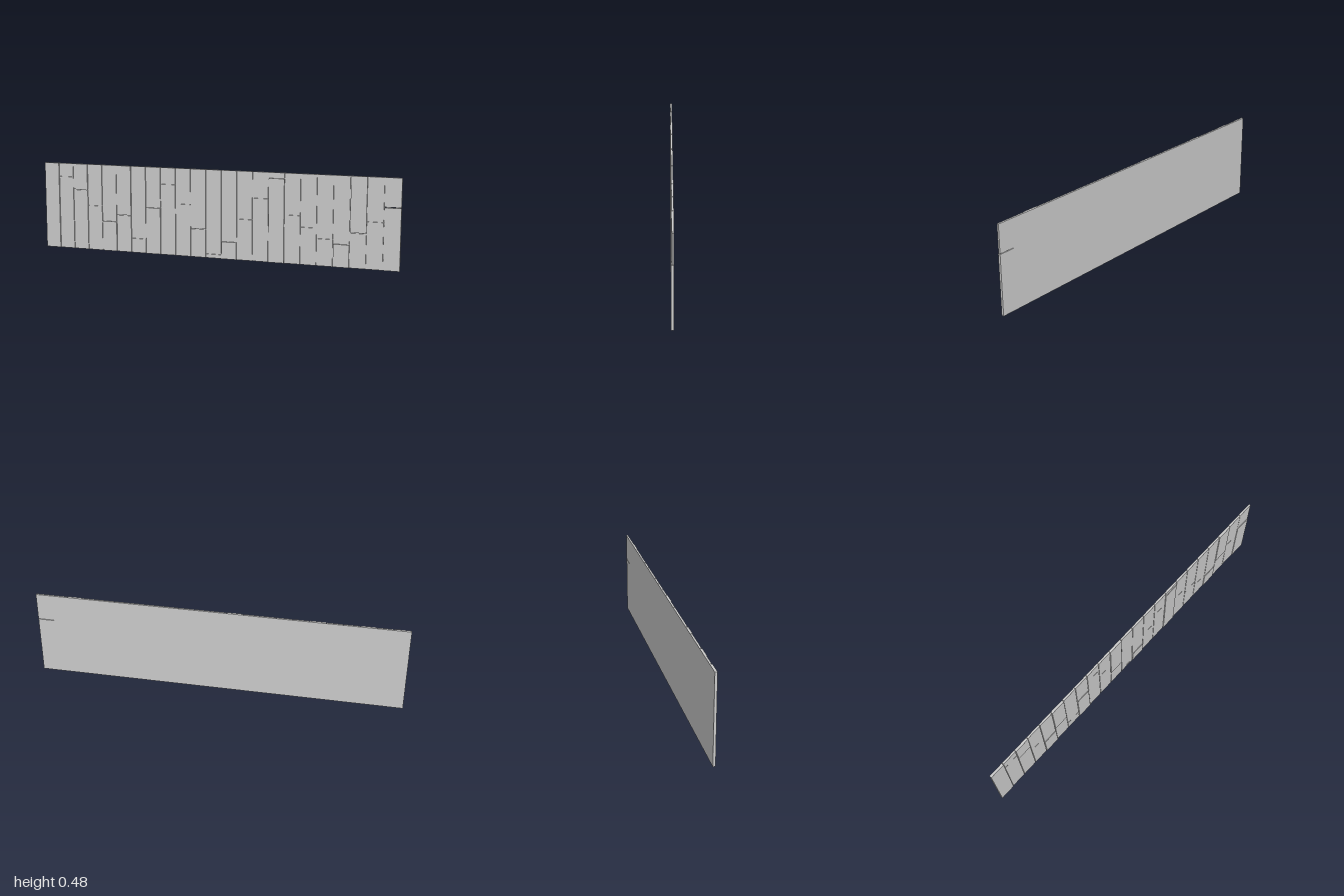
import * as THREE from 'three';

const HEIGHT = 0.48;
const COLUMNS = 23;
const WIDTH = 2 / COLUMNS;
const GAP = 0.003;
const BACK = -0.0065, SHEET_FRONT = -0.003;
const FLUSH = 0.004, RAISED = 0.0065;

// Height of the butt joint in each plank column (0 = one full-length plank)
const JOINTS = [0, 0.406, 0.335, 0.25, 0.167, 0.205, 0.08, 0.257, 0.39, 0.286, 0.155, 0.022,
  0.095, 0.223, 0.34, 0.45, 0.26, 0.2, 0.145, 0.122, 0.185, 0.249, 0.327];
// Columns whose lower or upper plank stands slightly proud
const RAISED_LOWER = [0, 4, 7, 12, 15, 19, 22];
const RAISED_UPPER = [2, 5, 10, 20];

export function createModel() {
  const group = new THREE.Group();
  const material = new THREE.MeshStandardMaterial({ color: 0xcccccc });

  // Box given by its lower and upper limits on each axis
  function addBox(name, x0, x1, y0, y1, z0, z1) {
    const mesh = new THREE.Mesh(new THREE.BoxGeometry(x1 - x0, y1 - y0, z1 - z0), material);
    mesh.position.set((x0 + x1) / 2, (y0 + y1) / 2, (z0 + z1) / 2);
    mesh.name = name;
    group.add(mesh);
  }

  // Backing sheet, stopping short of the last column
  addBox('backingSheet', -1, 1 - WIDTH, 0, HEIGHT, BACK, SHEET_FRONT);

  // Planks with narrow grooves between columns and at the butt joints
  JOINTS.forEach((joint, i) => {
    const last = i === COLUMNS - 1;
    const x0 = -1 + i * WIDTH + (last ? 0 : i ? GAP / 2 : 0);
    const x1 = -1 + (i + 1) * WIDTH - (last ? 0 : GAP / 2);
    const z0 = last ? BACK : SHEET_FRONT;
    const lowerFront = RAISED_LOWER.includes(i) ? RAISED : FLUSH;
    const upperFront = RAISED_UPPER.includes(i) ? RAISED : FLUSH;
    if (!joint) {
      addBox('fullPlank', x0, x1, 0, HEIGHT, z0, lowerFront);
      return;
    }
    addBox('lowerPlank', x0, x1, 0, joint - GAP / 2, z0, lowerFront);
    addBox('upperPlank', x0, x1, joint + GAP / 2, HEIGHT, z0, upperFront);
  });

  return group;
}
